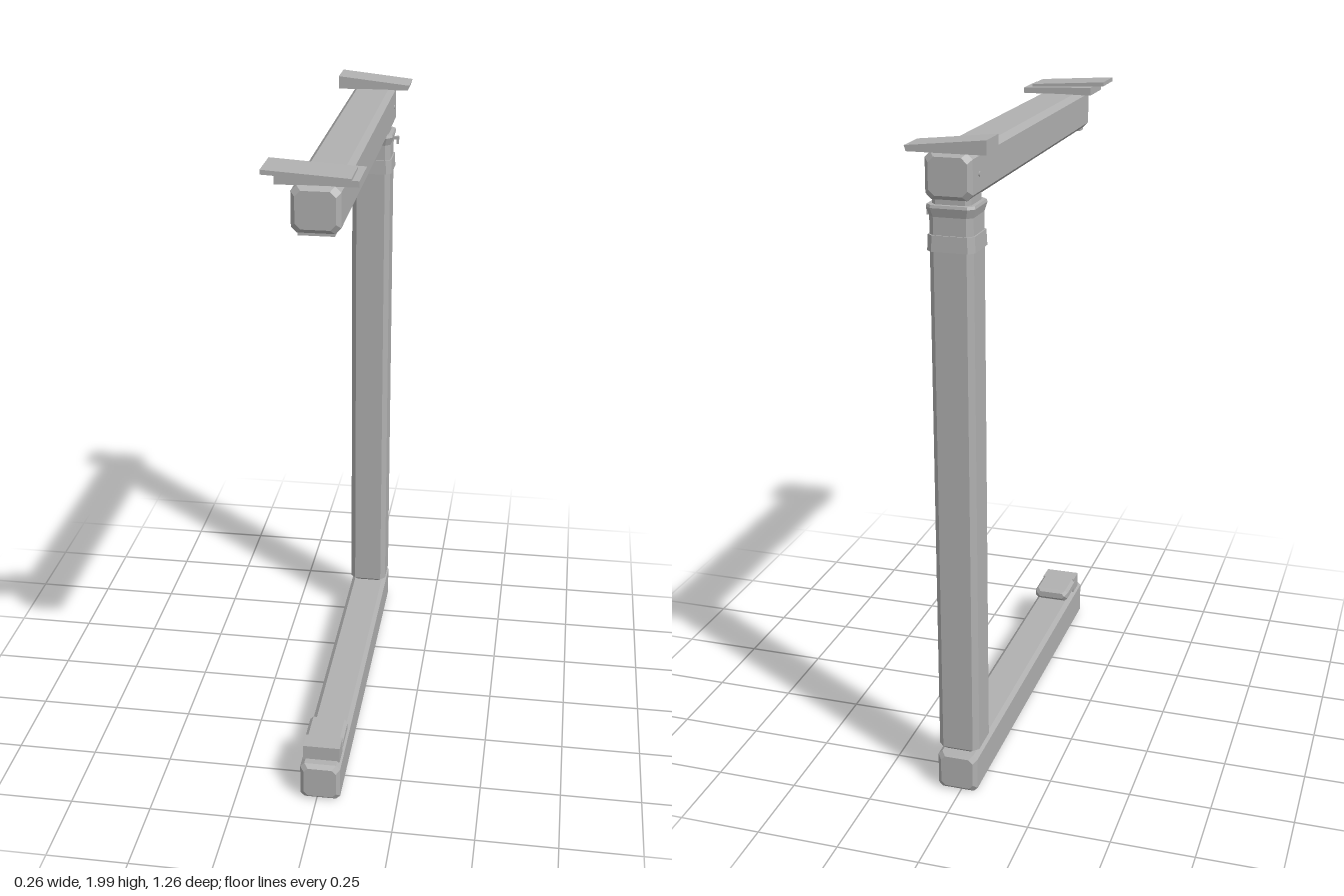
import * as THREE from 'three';
import { ConvexGeometry } from 'three/addons/geometries/ConvexGeometry.js';

const CX = 0.0105; // shared centre line of post and beams
const POST_Z = -0.553;

export function createModel() {
  const group = new THREE.Group();
  const grey = new THREE.MeshStandardMaterial({ color: 0xb0b0b0 });
  grey.name = 'grey';

  function add(name, geometry, x = 0, y = 0, z = 0) {
    const mesh = new THREE.Mesh(geometry, grey);
    mesh.name = name;
    mesh.position.set(x, y, z);
    group.add(mesh);
    return mesh;
  }

  // Chamfered-square sections [y, halfX, halfZ, chamfer] stacked into a convex solid
  function stack(sections) {
    const points = [];
    for (const [y, a, b, c] of sections)
      for (const sx of [-1, 1])
        for (const sz of [-1, 1])
          points.push(
            new THREE.Vector3(sx * a, y, sz * (b - c)),
            new THREE.Vector3(sx * (a - c), y, sz * b));
    return new ConvexGeometry(points);
  }

  // Bar with chamfered long edges and bevelled ends, standing along y
  function bar(w, length, d, c, end) {
    const h = length / 2;
    return stack([
      [-h, w / 2 - end, d / 2 - end, c],
      [-h + end, w / 2, d / 2, c],
      [h - end, w / 2, d / 2, c],
      [h, w / 2 - end, d / 2 - end, c]]);
  }

  // Profile in x/y extruded from z0 to z1
  function slab(name, profile, z0, z1) {
    const shape = new THREE.Shape(profile.map(([x, y]) => new THREE.Vector2(x, y)));
    add(name, new THREE.ExtrudeGeometry(shape, { depth: z1 - z0, bevelEnabled: false }), 0, 0, z0);
  }

  // Lower and upper beams
  add('lowerBeam', bar(0.125, 1.26, 0.125, 0.013, 0.012).rotateX(Math.PI / 2), CX, 0.068, 0);
  add('upperBeam', bar(0.134, 1.25, 0.128, 0.016, 0.012).rotateX(Math.PI / 2), CX, 1.897, -0.002);

  // Upright post
  add('post', bar(0.126, 1.665, 0.126, 0.016, 0.01), CX, 0.9675, POST_Z);
  add('postCollar', stack([
    [1.69, 0.069, 0.069, 0.017], [1.735, 0.067, 0.067, 0.017]]), CX, 0, POST_Z);
  add('postCap', stack([
    [1.785, 0.063, 0.063, 0.016], [1.81, 0.07, 0.07, 0.017], [1.818, 0.068, 0.068, 0.017]]), CX, 0, POST_Z);
  add('postNeck', stack([
    [1.81, 0.056, 0.056, 0.014], [1.84, 0.056, 0.056, 0.014]]), CX, 0, POST_Z);

  // Small hook on the side of the cap
  add('hookArm', new THREE.BoxGeometry(0.03, 0.01, 0.01), 0.082, 1.797, POST_Z);
  add('hookTip', new THREE.BoxGeometry(0.008, 0.026, 0.01), 0.092, 1.79, POST_Z);

  // Screw heads on both sides of the upper beam
  for (const side of [-1, 1])
    add('screw', new THREE.CylinderGeometry(0.007, 0.007, 0.004, 12).rotateZ(Math.PI / 2),
      CX + side * 0.068, 1.897, -0.56);

  // Pad and stop at the front of the lower beam
  add('pad', bar(0.12, 0.12, 0.04, 0.01, 0.01).rotateX(Math.PI / 2), CX, 0.157, 0.49);
  add('padFoot', new THREE.BoxGeometry(0.08, 0.02, 0.08), CX, 0.137, 0.49);
  add('stop', new THREE.BoxGeometry(0.115, 0.05, 0.06), CX, 0.152, 0.565);

  // Tilted rear plate
  slab('rearPlate', [[-0.1, 1.96], [0.125, 1.96], [0.13, 1.976], [-0.1, 2.0]], -0.63, -0.525);

  // Front plates, one lying on the other
  slab('frontLowerPlate', [[-0.1, 1.96], [0.125, 1.96], [0.125, 1.977], [-0.1, 1.985]], 0.465, 0.61);
  slab('frontUpperPlate', [[-0.135, 1.987], [0.105, 1.975], [0.105, 1.985], [-0.135, 2.0]], 0.495, 0.62);

  // Clamp tab wrapped round the front of the upper beam
  add('clampTab', new THREE.BoxGeometry(0.1, 0.14, 0.04), CX, 1.895, 0.59);

  return group;
}
